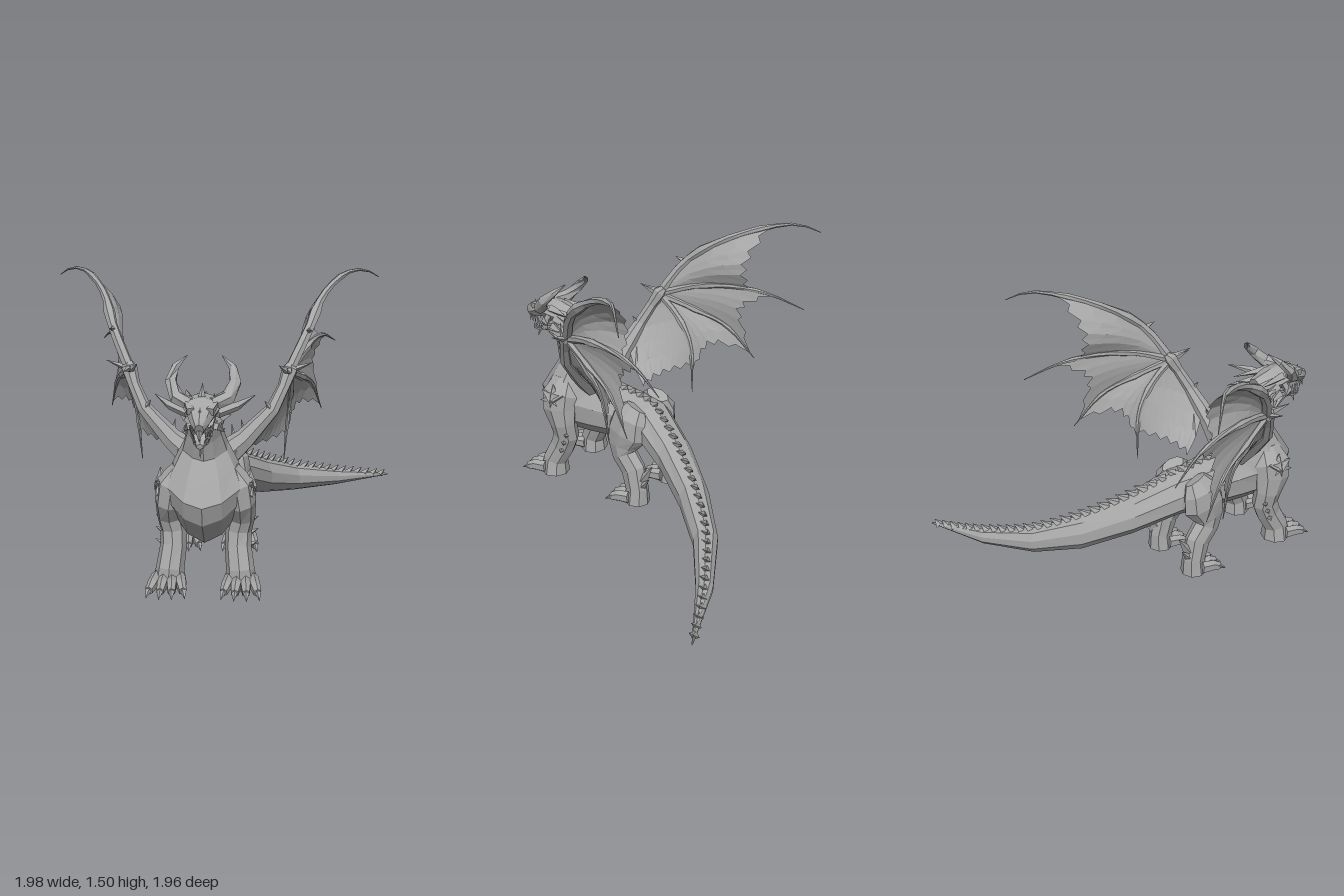
import * as THREE from 'three';
import { mergeGeometries } from 'three/addons/utils/BufferGeometryUtils.js';

const V = (x, y, z) => new THREE.Vector3(x, y, z);
const hide = new THREE.MeshStandardMaterial({ color: 0xa6a6a6 });
hide.name = 'grey hide';
const skin = new THREE.MeshStandardMaterial({ color: 0xa6a6a6, side: THREE.DoubleSide });
skin.name = 'grey wing skin';

// Faceted geometry from a list of triangle corners
function facets(corners) {
  const g = new THREE.BufferGeometry().setFromPoints(corners);
  g.computeVertexNormals();
  return g;
}

// Skin a row of rings (counter-clockwise about the direction of travel) and cap both ends
function loft(rings) {
  const out = [], n = rings[0].length, last = rings.length - 1;
  for (let i = 0; i < last; i++) {
    for (let j = 0; j < n; j++) {
      const k = (j + 1) % n, a = rings[i][j], b = rings[i][k], c = rings[i + 1][k], d = rings[i + 1][j];
      out.push(a, b, c, a, c, d);
    }
  }
  for (let j = 1; j < n - 1; j++) {
    out.push(rings[0][0], rings[0][j + 1], rings[0][j]);
    out.push(rings[last][0], rings[last][j], rings[last][j + 1]);
  }
  return facets(out);
}

// Tapered tube through stations [x, y, z, rSide, rOther]
function tube(st, sides = 7, ref = V(0, 0, 1)) {
  const p = st.map(s => V(s[0], s[1], s[2]));
  return loft(st.map((s, i) => {
    const t = p[Math.min(i + 1, p.length - 1)].clone().sub(p[Math.max(i - 1, 0)]).normalize();
    const u = ref.clone().cross(t);
    if (u.length() < 0.05) u.set(1, 0, 0.01).cross(t);
    u.normalize();
    const w = t.clone().cross(u);
    return Array.from({ length: sides }, (_, j) => {
      const a = Math.PI / 2 + 2 * Math.PI * j / sides;
      return p[i].clone().addScaledVector(u, Math.cos(a) * s[3]).addScaledVector(w, Math.sin(a) * (s[4] ?? s[3]));
    });
  }));
}

const spike = (a, b, r, flat = r) => tube([[...a, r, flat], [...b, 0.001, 0.001]], 4);

function add(group, name, parts, material = hide) {
  const mesh = new THREE.Mesh(mergeGeometries([parts].flat()), material);
  mesh.name = name;
  group.add(mesh);
}

// Neck, trunk and tail: [zTop, yTop, zBottom, yBottom, halfWidth, x, yaw]
const BODY = [
  [0.62, 0.95, 0.77, 0.87, 0.07], [0.53, 0.87, 0.74, 0.78, 0.085], [0.47, 0.78, 0.72, 0.69, 0.11],
  [0.44, 0.71, 0.78, 0.60, 0.15], [0.42, 0.66, 0.85, 0.49, 0.185], [0.41, 0.645, 0.82, 0.39, 0.19],
  [0.38, 0.63, 0.69, 0.255, 0.175], [0.32, 0.615, 0.46, 0.27, 0.155], [0.19, 0.605, 0.22, 0.30, 0.135],
  [0.03, 0.59, 0.02, 0.32, 0.125, 0.02, 0.2], [-0.18, 0.48, -0.2, 0.235, 0.102, 0.11, 0.48],
  [-0.42, 0.36, -0.43, 0.14, 0.082, 0.26, 0.68], [-0.63, 0.255, -0.63, 0.09, 0.064, 0.45, 0.87],
  [-0.81, 0.17, -0.81, 0.07, 0.043, 0.72, 1.03], [-0.98, 0.095, -0.98, 0.085, 0.003, 1.065, 1.1],
];

// Ten-sided ring, pinched toward a keel along the underside
function bodyRing([zt, yt, zb, yb, hw, x = 0, yaw = 0]) {
  const mid = V(x, (yt + yb) / 2, (zt + zb) / 2), up = V(0, (yt - yb) / 2, (zt - zb) / 2);
  const side = V(-Math.cos(yaw), 0, -Math.sin(yaw));
  return Array.from({ length: 10 }, (_, j) => {
    const a = Math.PI / 2 + Math.PI * j / 5, pinch = j === 4 || j === 6 ? 0.85 : 1.05;
    return mid.clone().addScaledVector(side, pinch * hw * Math.cos(a)).addScaledVector(up, Math.sin(a));
  });
}

// Row of thorns down the spine, with extra rows forming a mane on the neck
function spineSpikes() {
  const curve = new THREE.CatmullRomCurve3(BODY.map(s => V(s[5] ?? 0, s[1], s[0])));
  const out = [], count = 40;
  for (let i = 0; i < count; i++) {
    const f = i / count, p = curve.getPointAt(f), t = curve.getTangentAt(f);
    const u = V(0, 1, 0).cross(t).normalize(), n = t.clone().cross(u);
    const mane = f < 0.17, len = mane ? 0.12 : f < 0.38 ? 0.055 : 0.1 - 0.055 * f;
    for (const k of mane ? [-2, -1, 0, 1, 2] : [0]) {
      const a = p.clone().addScaledVector(u, k * 0.028).addScaledVector(n, -0.012 - 0.012 * Math.abs(k));
      const b = a.clone().addScaledVector(n, len * (mane ? 0.7 : 0.8)).addScaledVector(t, len * 0.65).addScaledVector(u, k * 0.016);
      if (mane) b.y += 0.04;
      out.push(spike(a.toArray(), b.toArray(), mane ? 0.026 : 0.02, mane ? 0.018 : 0.028));
    }
  }
  return out;
}

function buildHead(group) {
  const up = V(0, 1, 0);
  add(group, 'skull', tube([[0, 0.945, 0.6, 0.055, 0.06], [0, 0.97, 0.72, 0.09, 0.065], [0, 0.98, 0.82, 0.085, 0.06],
    [0, 0.957, 0.87, 0.062, 0.052], [0, 0.938, 0.92, 0.046, 0.045], [0, 0.915, 0.965, 0.022, 0.036]], 8, up));
  add(group, 'lowerJaw', tube([[0, 0.9, 0.7, 0.07, 0.05], [0, 0.865, 0.8, 0.055, 0.032],
    [0, 0.835, 0.87, 0.042, 0.022], [0, 0.825, 0.925, 0.018, 0.014]], 6, up));
  const teeth = [], thorns = [spike([0, 0.84, 0.88], [0, 0.765, 0.91], 0.015), spike([0, 1.01, 0.82], [0, 1.085, 0.74], 0.025),
    spike([0, 0.965, 0.91], [0, 1.0, 0.92], 0.018), spike([0, 0.91, 0.955], [0, 0.86, 0.968], 0.018)];
  const horns = [];
  for (const s of [-1, 1]) {
    horns.push(tube([[0.05, 1.0, 0.81, 0.034], [0.12, 1.02, 0.77, 0.037], [0.155, 1.085, 0.71, 0.03],
      [0.138, 1.145, 0.645, 0.02], [0.085, 1.19, 0.6, 0.002]].map(([x, ...r]) => [s * x, ...r]), 6));
    horns.push(tube([[s * 0.07, 0.945, 0.76, 0.026], [s * 0.16, 0.965, 0.7, 0.022], [s * 0.245, 0.995, 0.6, 0.002]], 5));
    for (let i = 0; i < 4; i++) {
      teeth.push(spike([s * (0.05 - i * 0.007), 0.91, 0.86 + i * 0.025], [s * (0.046 - i * 0.006), 0.868, 0.865 + i * 0.025], 0.008));
      teeth.push(spike([s * (0.048 - i * 0.008), 0.85 - i * 0.006, 0.83 + i * 0.026], [s * (0.042 - i * 0.006), 0.885 - i * 0.008, 0.84 + i * 0.026], 0.007));
    }
    // Brow, cheek and ear spikes sweeping backward
    thorns.push(spike([s * 0.045, 0.985, 0.89], [s * 0.1, 1.035, 0.74], 0.025), spike([s * 0.06, 1.0, 0.74], [s * 0.1, 1.0, 0.52], 0.028));
    thorns.push(spike([s * 0.07, 0.95, 0.7], [s * 0.13, 0.94, 0.5], 0.028), spike([s * 0.07, 0.9, 0.72], [s * 0.13, 0.89, 0.58], 0.026));
    thorns.push(spike([s * 0.06, 0.88, 0.76], [s * 0.1, 0.82, 0.65], 0.022));
  }
  add(group, 'horns', horns);
  add(group, 'teeth', teeth);
  add(group, 'faceSpikes', thorns);
}

// Leg column plus foot with four clawed toes
function buildLeg(group, name, s, stations, footX, footZ, length) {
  const parts = [tube(stations.map(([x, ...r]) => [s * x, ...r]), 8)];
  const claws = [];
  for (let i = 0; i < 4; i++) {
    const k = i - 1.5, x = s * footX + k * 0.04, reach = length * (1 - 0.08 * Math.abs(k)), tip = x + k * 0.016;
    parts.push(tube([[x, 0.055, footZ, 0.028, 0.04], [x + k * 0.008, 0.05, footZ + reach * 0.45, 0.027, 0.036],
      [tip, 0.035, footZ + reach * 0.75, 0.02, 0.024]], 6, V(0, 1, 0)));
    claws.push(spike([tip, 0.045, footZ + reach * 0.66], [tip + k * 0.008, 0.012, footZ + reach], 0.02));
  }
  add(group, name, parts);
  add(group, name + 'Claws', claws);
}

// Wing skin stretched between two curves, with a ragged hollow trailing edge and a sideways billow
function membrane(A, B, kA, kB, hollow, billow) {
  const nu = 5, nv = 10, out = [];
  const at = (i, j) => {
    const v = j / nv, arch = Math.sin(Math.PI * v), rag = j > 0 && j < nv && j % 2 ? 0.06 : 0;
    const k = (i / nu) * (kA + (kB - kA) * v) * (1 - hollow * arch - rag);
    const p = A.getPointAt(k).lerp(B.getPointAt(k), v);
    p.x -= billow * arch * i / nu;
    return p;
  };
  for (let i = 0; i < nu; i++) for (let j = 0; j < nv; j++) {
    const a = at(i, j), b = at(i + 1, j), c = at(i + 1, j + 1), d = at(i, j + 1);
    out.push(a, b, c);
    if (i) out.push(a, c, d);
  }
  return facets(out);
}

function buildWing(group, side, s) {
  const wrist = [0.41, 1.05, 0.31];
  const curve = pts => new THREE.CatmullRomCurve3(pts.map(p => V(s * p[0], p[1], p[2])));
  const bones = [
    [wrist, [0.51, 1.25, 0.19], [0.59, 1.4, -0.02], [0.73, 1.49, -0.26], [0.83, 1.49, -0.36], [0.915, 1.44, -0.45]],
    [wrist, [0.49, 1.12, 0.11], [0.55, 1.147, -0.1], [0.61, 1.13, -0.31], [0.68, 1.06, -0.5]],
    [wrist, [0.48, 0.98, 0.11], [0.54, 0.9, -0.08], [0.6, 0.715, -0.24]],
    [wrist, [0.42, 0.95, 0.2], [0.41, 0.8, 0.09], [0.39, 0.49, 0.05]],
  ];
  const fingers = bones.map(curve);
  const armLine = curve([wrist, [0.33, 0.87, 0.38], [0.21, 0.73, 0.38], [0.1, 0.6, 0.19]]);
  add(group, side + 'WingArm', tube([[0.07, 0.62, 0.43, 0.08], [0.19, 0.72, 0.42, 0.055], [0.33, 0.87, 0.39, 0.037],
    [0.385, 0.98, 0.345, 0.032], [0.415, 1.06, 0.305, 0.042], [0.42, 1.09, 0.28, 0.02]].map(([x, ...r]) => [s * x, ...r]), 7));
  add(group, side + 'WingFingers', fingers.map((c, f) => tube(Array.from({ length: 13 }, (_, i) => {
    const r = (f ? 0.019 : 0.027) * (1 - (i / 12) ** 1.5) + 0.002;
    return [...c.getPointAt(i / 12).toArray(), i === 4 || i === 8 ? r * 1.3 : r];
  }), 6)));
  const sheets = [[0.74, 0.64, 0.04, 0.09], [0.8, 0.95, 0.22, 0.02], [0.94, 0.82, 0.22, 0.02]].map(([a, b, hollow, billow], i) =>
    membrane(fingers[i], fingers[i + 1], a, b, hollow, s * billow));
  sheets.push(membrane(fingers[3], armLine, 0.75, 1, 0.04, 0));
  add(group, side + 'WingSkin', sheets, skin);
  // Thumb claw, wrist thorns and joint thorns
  const thorns = [[[0.41, 1.06, 0.32], [0.42, 1.075, 0.46]], [[0.41, 1.05, 0.33], [0.36, 1.1, 0.4]],
    [[0.41, 1.05, 0.3], [0.53, 1.1, 0.31]], [[0.51, 1.24, 0.19], [0.51, 1.26, 0.27]], [[0.33, 0.86, 0.4], [0.29, 0.92, 0.42]],
    [[0.19, 0.72, 0.43], [0.17, 0.81, 0.38]], [[0.14, 0.68, 0.44], [0.12, 0.78, 0.36]], [[0.12, 0.64, 0.5], [0.2, 0.73, 0.42]]];
  add(group, side + 'WingThorns', thorns.map(([a, b]) => spike([s * a[0], a[1], a[2]], [s * b[0], b[1], b[2]], 0.022)));
}

export function createModel() {
  const dragon = new THREE.Group();
  dragon.name = 'dragon';
  add(dragon, 'body', loft(BODY.map(bodyRing)));
  add(dragon, 'spineSpikes', spineSpikes());
  buildHead(dragon);
  for (const s of [-1, 1]) {
    const side = s > 0 ? 'left' : 'right';
    buildLeg(dragon, side + 'FrontLeg', s, [[0.12, 0.62, 0.6, 0.05, 0.08], [0.16, 0.54, 0.6, 0.085, 0.12], [0.175, 0.45, 0.6, 0.08, 0.115],
      [0.18, 0.36, 0.57, 0.07, 0.085], [0.165, 0.28, 0.565, 0.068, 0.082], [0.165, 0.2, 0.595, 0.068, 0.078],
      [0.178, 0.1, 0.645, 0.072, 0.075], [0.182, 0.012, 0.645, 0.088, 0.08]], 0.185, 0.67, 0.18);
    buildLeg(dragon, side + 'HindLeg', s, [[0.1, 0.58, 0.09, 0.04, 0.07], [0.125, 0.52, 0.11, 0.075, 0.115], [0.135, 0.43, 0.125, 0.08, 0.132],
      [0.14, 0.35, 0.15, 0.072, 0.1], [0.145, 0.285, 0.14, 0.062, 0.08], [0.15, 0.21, 0.075, 0.058, 0.08],
      [0.155, 0.1, 0.045, 0.06, 0.07], [0.155, 0.012, 0.045, 0.074, 0.075]], 0.155, 0.06, 0.165);
    buildWing(dragon, side, s);
    // Overlapping shoulder plates, elbow spikes and heel spurs
    const plates = [[0.1, 0], [0.05, 0.075], [0.05, -0.075], [-0.02, 0.09], [-0.05, -0.06], [-0.11, 0.01]].map(([dy, dz], i) =>
      spike([s * 0.215, 0.52 + dy * 0.1, 0.6 + dz * 0.1], [s * (0.225 + 0.015 * (i % 2)), 0.52 + dy, 0.6 + dz], 0.045, 0.035));
    add(dragon, side + 'ShoulderPlates', plates);
    const spurs = [0, 1, 2].map(i => spike([s * 0.2, 0.3 - i * 0.055, 0.53 + i * 0.02], [s * 0.265, 0.33 - i * 0.06, 0.49 + i * 0.02], 0.022));
    spurs.push(spike([s * 0.155, 0.17, 0.0], [s * 0.165, 0.28, -0.07], 0.03), spike([s * 0.165, 0.13, 0.0], [s * 0.18, 0.2, -0.06], 0.022));
    add(dragon, side + 'LegSpurs', spurs);
  }
  // Set the body right of centre, balancing the swept tail
  dragon.children.forEach(m => m.geometry.translate(-0.075, 0, 0));
  return dragon;
}
